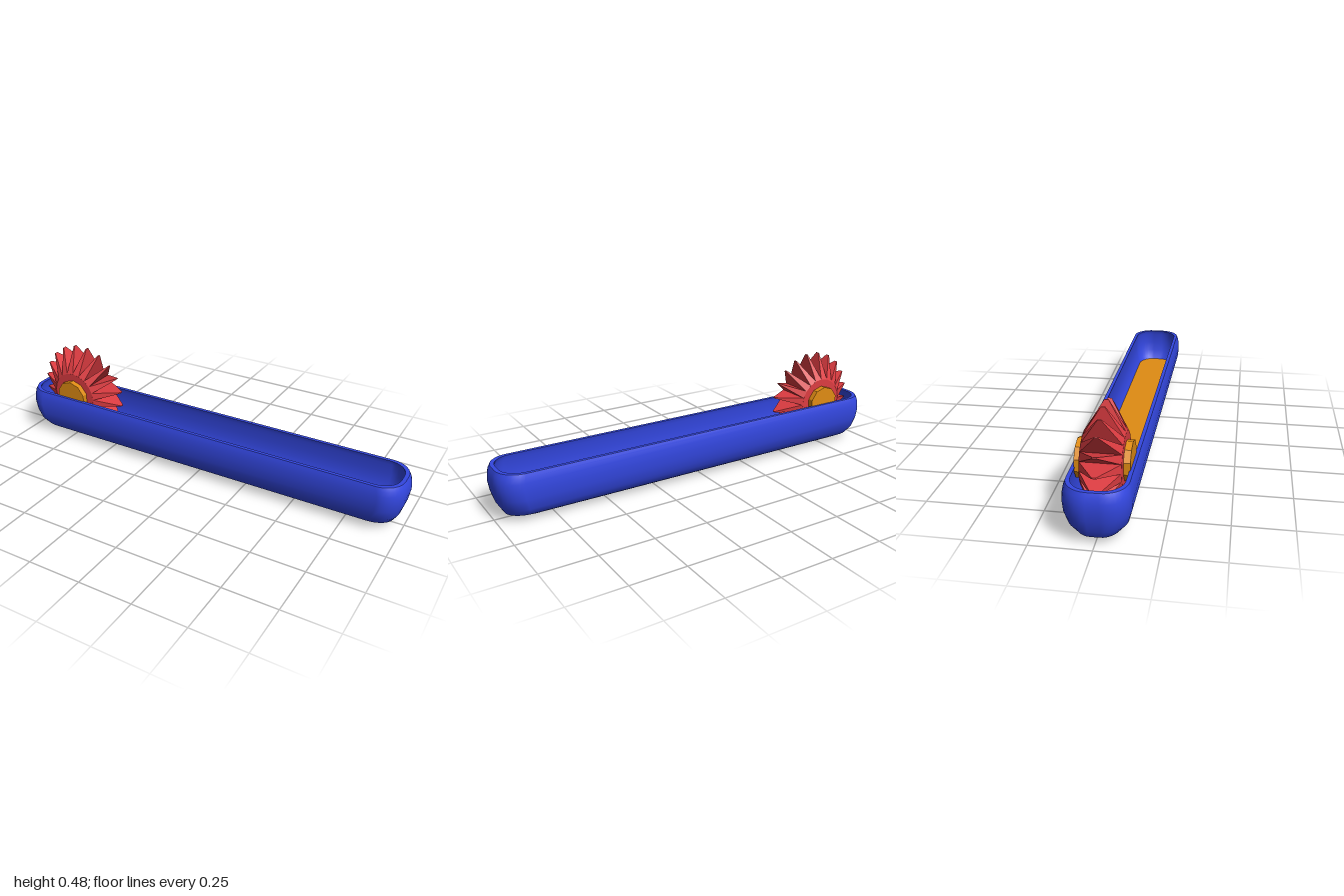
import * as THREE from 'three';

const material = (color, extra = {}) => new THREE.MeshStandardMaterial({ color, ...extra });
const blue = material(0x3347e0);
const red = material(0xdc3c41, { flatShading: true });
const orange = material(0xe08c14, { flatShading: true });

// Rounded rectangle outline in plan: half length hx, half width hz
function outline(hx, hz, rx = 0.1) {
  const points = [];
  const rz = hz * 0.8, steps = 8;
  for (let corner = 0; corner < 4; corner++) {
    const sx = corner === 0 || corner === 3 ? 1 : -1;
    const sz = corner < 2 ? 1 : -1;
    for (let i = 0; i <= steps; i++) {
      const a = (corner + i / steps) * Math.PI / 2;
      points.push([sx * (hx - rx) + rx * Math.cos(a), sz * (hz - rz) + rz * Math.sin(a)]);
    }
  }
  return points;
}

// Skin over a stack of outlines, each given as [y, hx, hz, rx]
function skin(levels) {
  const positions = [], index = [];
  const rings = levels.map(([y, hx, hz, rx]) => outline(hx, hz, rx).map(([x, z]) => [x, y, z]));
  rings.forEach(ring => ring.forEach(p => positions.push(...p)));
  const n = rings[0].length;
  for (let r = 0; r < rings.length - 1; r++) {
    for (let i = 0; i < n; i++) {
      const a = r * n + i, b = r * n + (i + 1) % n;
      index.push(a, a + n, b, b, a + n, b + n);
    }
  }
  const geometry = new THREE.BufferGeometry();
  geometry.setAttribute('position', new THREE.Float32BufferAttribute(positions, 3));
  geometry.setIndex(index);
  geometry.computeVertexNormals();
  return geometry;
}

function addMesh(parent, name, geometry, mat) {
  const mesh = new THREE.Mesh(geometry, mat);
  mesh.name = name;
  parent.add(mesh);
  return mesh;
}

function createHull() {
  const hull = new THREE.Group();
  hull.name = 'hull';
  const outer = [
    [0.002, 0.87, 0.0005], [0.01, 0.92, 0.05], [0.033, 0.956, 0.091], [0.07, 0.978, 0.118],
    [0.12, 0.993, 0.131], [0.165, 1, 0.134], [0.197, 0.998, 0.132], [0.22, 0.993, 0.128],
    [0.237, 0.985, 0.122],
  ];
  const inner = [
    [0.237, 0.967, 0.106, 0.09], [0.215, 0.975, 0.112, 0.09], [0.165, 0.978, 0.114, 0.09],
    [0.12, 0.972, 0.111, 0.09], [0.085, 0.96, 0.1, 0.09], [0.06, 0.945, 0.086, 0.09],
  ];
  const shell = skin(outer);
  // The keel line faces straight down
  const normals = shell.attributes.normal;
  for (let i = 0; i < 36; i++) normals.setXYZ(i, 0, -1, 0);
  addMesh(hull, 'outerShell', shell, blue);
  addMesh(hull, 'rim', skin([outer[outer.length - 1], inner[0]]), blue);
  addMesh(hull, 'innerWall', skin(inner), blue);

  // Flat deck inside
  const shape = new THREE.Shape(outline(0.955, 0.093, 0.09).map(([x, z]) => new THREE.Vector2(x, z)));
  const floor = new THREE.ShapeGeometry(shape).rotateX(-Math.PI / 2);
  addMesh(hull, 'floor', floor, orange).position.y = 0.07;
  return hull;
}

// Spike tapering from a wide base to a narrow tip, pointing along +y
function spikeGeometry(baseRadius, tipRadius) {
  const geometry = new THREE.BoxGeometry(1, tipRadius - baseRadius, 1);
  geometry.translate(0, (tipRadius + baseRadius) / 2, 0);
  const p = geometry.attributes.position;
  for (let i = 0; i < p.count; i++) {
    const tip = p.getY(i) > (tipRadius + baseRadius) / 2;
    p.setX(i, p.getX(i) * (tip ? 0.005 : 0.038));
    p.setZ(i, p.getZ(i) * (tip ? 0.016 : 0.166));
  }
  return geometry;
}

function createWheel() {
  const wheel = new THREE.Group();
  wheel.name = 'spikedWheel';
  const drum = new THREE.CylinderGeometry(0.117, 0.117, 0.166, 20).rotateX(Math.PI / 2);
  addMesh(wheel, 'drum', drum, red);
  const hub = new THREE.CylinderGeometry(0.082, 0.082, 0.22, 10).rotateX(Math.PI / 2);
  addMesh(wheel, 'hub', hub, orange);

  const count = 20;
  const geometry = spikeGeometry(0.115, 0.238);
  for (let i = 0; i < count; i++) {
    addMesh(wheel, 'spike', geometry, red).rotation.z = (i + 0.5) * Math.PI * 2 / count;
  }
  wheel.position.set(-0.721, 0.243, 0);
  return wheel;
}

export function createModel() {
  const model = new THREE.Group();
  model.name = 'boatWithSpikedWheel';
  model.add(createHull(), createWheel());
  return model;
}
